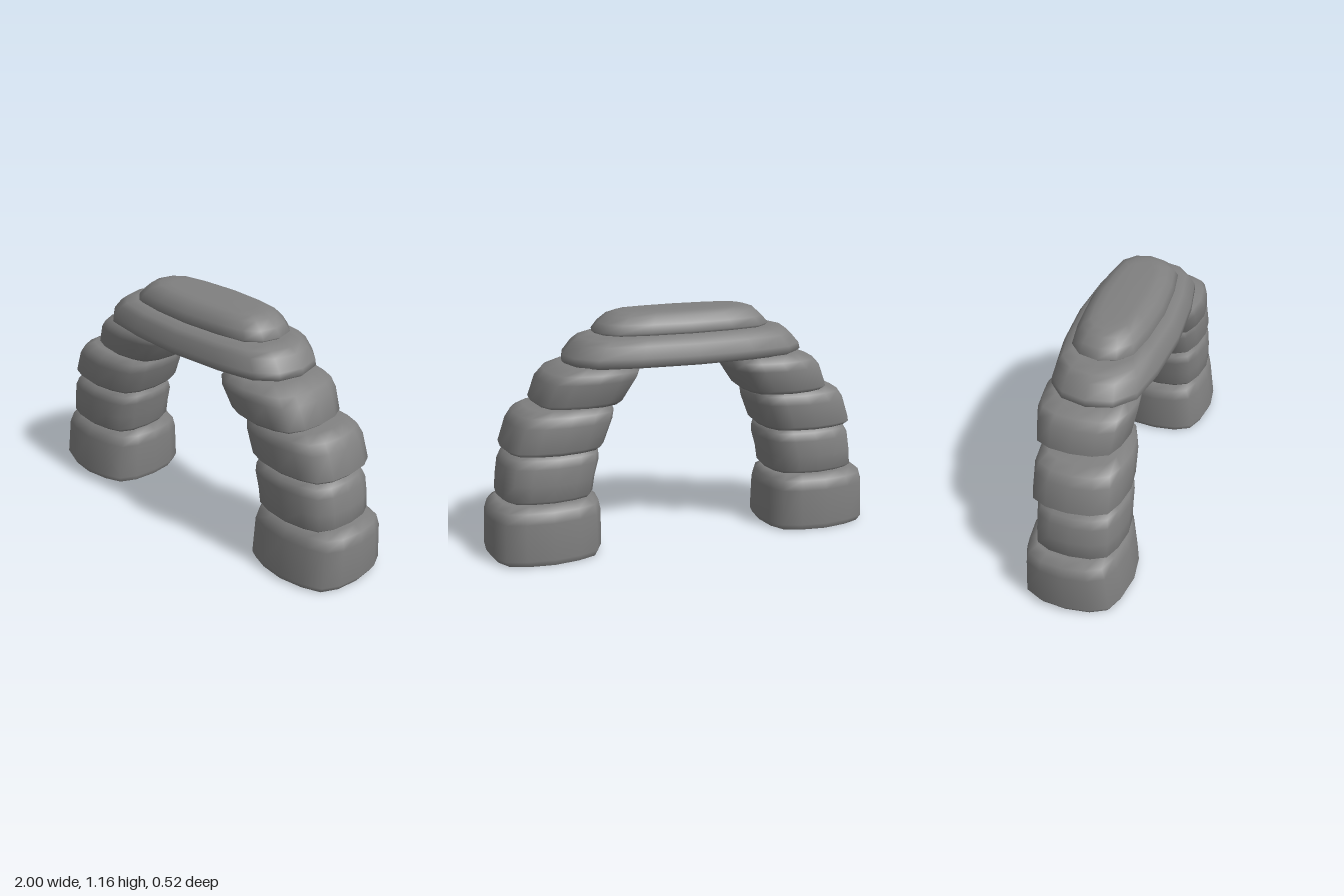
import * as THREE from 'three';

// One quarter of a stone's plan outline: a blunt hexagon with softened corners
const QUARTER = [[1, 0], [0.95, 0.47], [0.8, 0.79], [0.47, 0.93]];
const OUTLINE = [0, 1, 2, 3].flatMap((q) => QUARTER.map((_, i) => {
  const odd = q % 2 === 1;
  const [c, s] = odd ? (i === 0 ? [0, 1] : QUARTER[4 - i]) : QUARTER[i];
  return odd
    ? [q === 1 ? -c : c, q === 1 ? s : -s]
    : [q === 0 ? c : -c, q === 0 ? s : -s];
}));
// Quarters run counter-clockwise, so sort by angle to join them
OUTLINE.sort((a, b) => Math.atan2(a[1], a[0]) - Math.atan2(b[1], b[0]));
const SIDES = OUTLINE.length;

// Lofts one smooth stone from rings [y, xMin, xMax, zMin, zMax], bottom to top.
// base is 'open', 'soft' (smooth underside) or 'flat'
function stone(name, rings, base) {
  const pos = [], idx = [];
  const addRing = ([y, x0, x1, z0, z1]) => {
    for (const [c, s] of OUTLINE) {
      pos.push((x0 + x1) / 2 + c * (x1 - x0) / 2, y, (z0 + z1) / 2 + s * (z1 - z0) / 2);
    }
  };
  const addCap = (start, [y, x0, x1, z0, z1], up) => {
    const centre = pos.length / 3;
    pos.push((x0 + x1) / 2, y, (z0 + z1) / 2);
    for (let i = 0; i < SIDES; i++) {
      const a = start + i, b = start + (i + 1) % SIDES;
      idx.push(centre, up ? b : a, up ? a : b);
    }
  };
  rings.forEach(addRing);
  for (let r = 0; r < rings.length - 1; r++) {
    for (let i = 0; i < SIDES; i++) {
      const a = r * SIDES + i, b = r * SIDES + (i + 1) % SIDES;
      idx.push(a, a + SIDES, b, b, a + SIDES, b + SIDES);
    }
  }
  addCap((rings.length - 1) * SIDES, rings[rings.length - 1], true);
  if (base === 'soft') addCap(0, rings[0], false);
  if (base === 'flat') {
    // separate vertices keep the underside flat
    const start = pos.length / 3;
    addRing(rings[0]);
    addCap(start, rings[0], false);
  }
  const geo = new THREE.BufferGeometry();
  geo.setAttribute('position', new THREE.Float32BufferAttribute(pos, 3));
  geo.setIndex(idx);
  geo.computeVertexNormals();
  const mesh = new THREE.Mesh(geo, new THREE.MeshStandardMaterial({ color: 0x808080, side: THREE.DoubleSide }));
  mesh.name = name;
  return mesh;
}

// Leg stones for the +x side, bottom to top
const LEG = [
  { name: 'baseStone', base: 'open', rings: [
    [0, 0.455, 0.98, -0.235, 0.25],
    [0.03, 0.44, 1.0, -0.25, 0.263],
    [0.21, 0.44, 0.995, -0.242, 0.24],
    [0.26, 0.45, 0.98, -0.23, 0.22],
    [0.287, 0.485, 0.94, -0.19, 0.18]] },
  { name: 'lowerLegStone', base: 'soft', rings: [
    [0.283, 0.49, 0.91, -0.17, 0.205],
    [0.305, 0.472, 0.938, -0.195, 0.23],
    [0.38, 0.46, 0.932, -0.197, 0.23],
    [0.46, 0.437, 0.92, -0.195, 0.23],
    [0.5, 0.437, 0.9, -0.18, 0.22],
    [0.527, 0.465, 0.86, -0.14, 0.185]] },
  { name: 'middleLegStone', base: 'soft', rings: [
    [0.523, 0.44, 0.89, -0.195, 0.205],
    [0.545, 0.415, 0.913, -0.22, 0.23],
    [0.66, 0.37, 0.875, -0.22, 0.228],
    [0.705, 0.36, 0.845, -0.205, 0.215],
    [0.732, 0.385, 0.79, -0.17, 0.18]] },
  { name: 'shoulderStone', base: 'soft', turned: true, rings: [
    [0.728, 0.33, 0.725, -0.16, 0.225],
    [0.75, 0.3, 0.752, -0.185, 0.25],
    [0.85, 0.235, 0.715, -0.2, 0.258],
    [0.89, 0.222, 0.68, -0.2, 0.245],
    [0.922, 0.25, 0.6, -0.165, 0.2]] },
];

export function createModel() {
  const arch = new THREE.Group();
  arch.name = 'stoneArch';

  for (const { name, rings, base, turned } of LEG) {
    arch.add(stone(name + 'Left', rings, base));
    // opposite leg: mirrored, or turned half round
    const other = rings.map(([y, x0, x1, z0, z1]) =>
      turned ? [y, -x1, -x0, -z1, -z0] : [y, -x1, -x0, z0, z1]);
    arch.add(stone(name + 'Right', other, base));
  }

  // Lintel slab bridging the legs
  arch.add(stone('lintelSlab', [
    [0.918, -0.61, 0.58, -0.235, 0.24],
    [0.935, -0.632, 0.6, -0.257, 0.26],
    [0.965, -0.625, 0.595, -0.255, 0.258],
    [1.02, -0.575, 0.55, -0.24, 0.24],
    [1.045, -0.54, 0.515, -0.22, 0.22],
    [1.06, -0.48, 0.46, -0.18, 0.18]], 'flat'));

  // Cap stone on top
  arch.add(stone('capStone', [
    [1.056, -0.44, 0.43, -0.175, 0.17],
    [1.072, -0.46, 0.45, -0.19, 0.185],
    [1.11, -0.425, 0.42, -0.175, 0.17],
    [1.145, -0.385, 0.375, -0.15, 0.145],
    [1.16, -0.34, 0.33, -0.115, 0.11],
    [1.165, -0.27, 0.27, -0.08, 0.08]], 'soft'));

  return arch;
}
